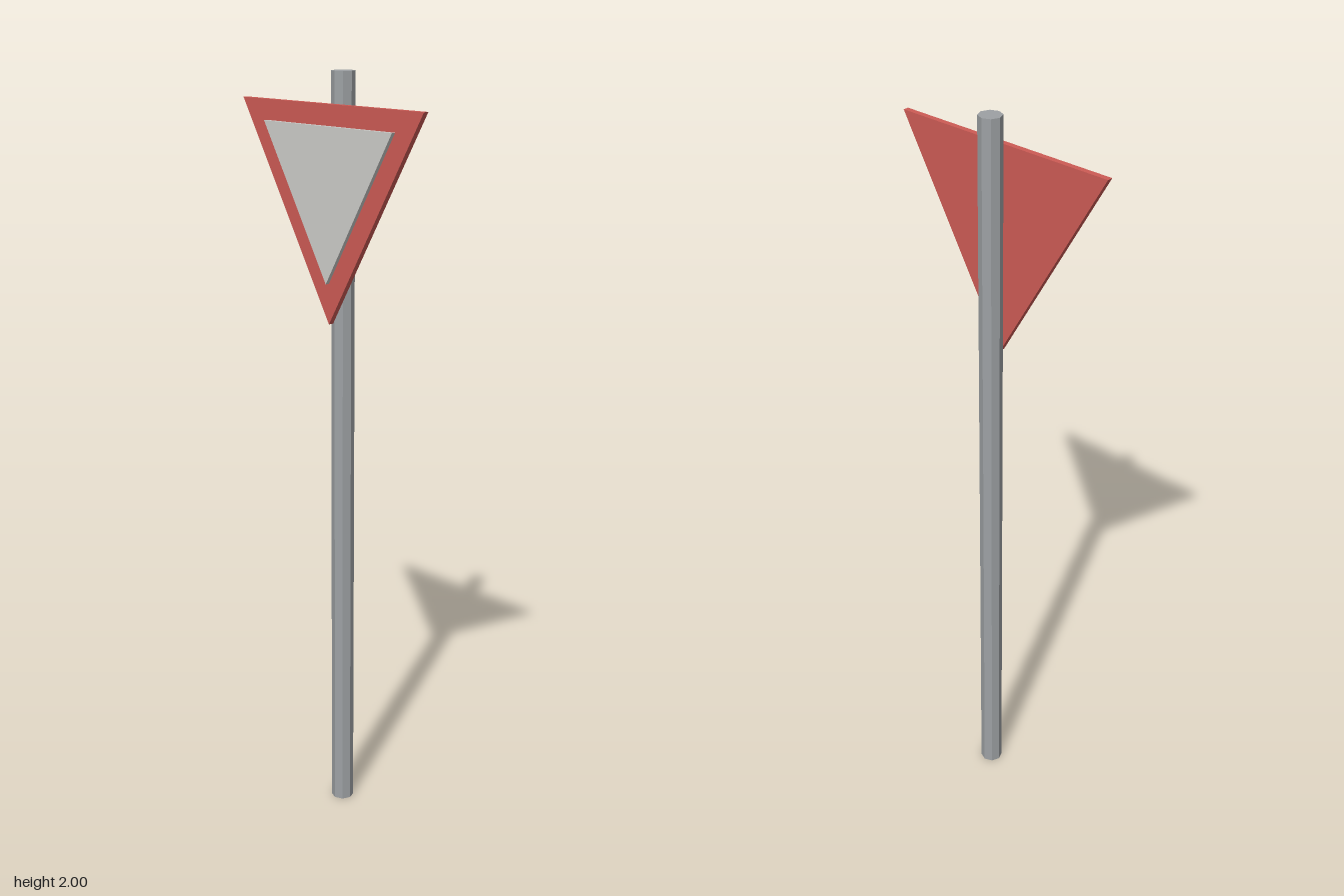
import * as THREE from 'three';

const material = (name, color) => {
  const m = new THREE.MeshStandardMaterial({ color });
  m.name = name;
  return m;
};

// Equilateral plate pointing down, centred on its centroid, back face at z = back
function trianglePlate(name, radius, back, depth, mat) {
  const corners = [90, 210, 330].map((deg) => {
    const a = THREE.MathUtils.degToRad(deg + 180);
    return new THREE.Vector2(Math.cos(a) * radius, Math.sin(a) * radius);
  });
  const geometry = new THREE.ExtrudeGeometry(new THREE.Shape(corners), { depth, bevelEnabled: false });
  const mesh = new THREE.Mesh(geometry, mat);
  mesh.name = name;
  mesh.position.set(0, 1.739, back);
  return mesh;
}

export function createModel() {
  const model = new THREE.Group();
  model.name = 'yieldSign';

  const steel = material('steelGrey', 0x9da1a4);
  steel.flatShading = true;
  const red = material('signRed', 0xcd5b55);
  const white = material('signWhite', 0xcdcdca);

  // Eight-sided post, corner towards the sign
  const post = new THREE.Mesh(new THREE.CylinderGeometry(0.03, 0.03, 2, 8), steel);
  post.name = 'post';
  post.position.set(0, 1, -0.017);
  model.add(post);

  // Red plate with a raised white panel
  model.add(trianglePlate('signPlate', 0.366, 0.018, 0.015, red));
  model.add(trianglePlate('signPanel', 0.261, 0.033, 0.011, white));

  return model;
}
